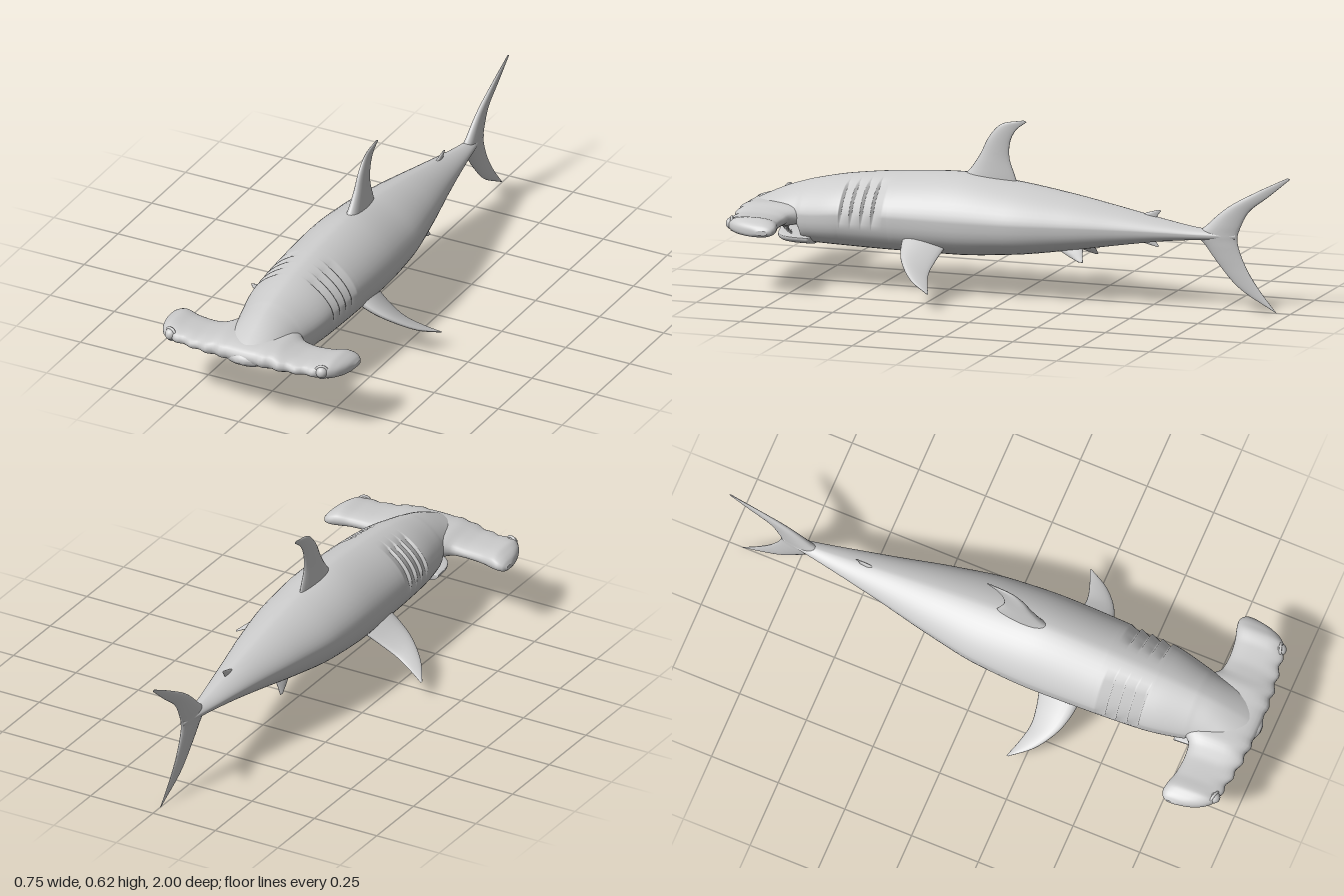
import * as THREE from 'three';

const material = new THREE.MeshStandardMaterial({ color: 0xcccccc, roughness: 0.8 });
const V = (x, y, z) => new THREE.Vector3(x, y, z);

// Smooth closed skin through rings of points, capped at both ends and wound outward
function loft(name, rings) {
  const n = rings[0].length, pos = [], idx = [];
  rings.forEach(r => r.forEach(p => pos.push(p.x, p.y, p.z)));
  for (let i = 0; i < rings.length - 1; i++)
    for (let j = 0; j < n; j++) {
      const a = i * n + j, b = i * n + (j + 1) % n;
      idx.push(a, b, a + n, b, b + n, a + n);
    }
  [0, rings.length - 1].forEach((r, end) => {
    const c = rings[r].reduce((s, p) => s.add(p), V(0, 0, 0)).divideScalar(n);
    const k = pos.length / 3;
    pos.push(c.x, c.y, c.z);
    for (let j = 0; j < n; j++) {
      const a = r * n + j, b = r * n + (j + 1) % n;
      end ? idx.push(k, a, b) : idx.push(k, b, a);
    }
  });
  const at = i => V(pos[3 * i], pos[3 * i + 1], pos[3 * i + 2]);
  let volume = 0;
  for (let i = 0; i < idx.length; i += 3)
    volume += at(idx[i]).dot(at(idx[i + 1]).cross(at(idx[i + 2])));
  if (volume < 0) idx.reverse();
  const g = new THREE.BufferGeometry();
  g.setAttribute('position', new THREE.Float32BufferAttribute(pos, 3));
  g.setIndex(idx);
  g.computeVertexNormals();
  const mesh = new THREE.Mesh(g, material);
  mesh.name = name;
  return mesh;
}

// Monotone cubic interpolation of table rows keyed by their first, ascending column
function sample(rows, x) {
  let i = 0;
  while (i < rows.length - 2 && x > rows[i + 1][0]) i++;
  const a = rows[i], b = rows[i + 1], h = b[0] - a[0];
  const t = THREE.MathUtils.clamp((x - a[0]) / h, 0, 1);
  return a.slice(1).map((_, k) => {
    const c = k + 1;
    const slope = j => (rows[j + 1][c] - rows[j][c]) / (rows[j + 1][0] - rows[j][0]);
    const tangent = j => {
      if (j === 0) return slope(0);
      if (j === rows.length - 1) return slope(j - 1);
      const p = slope(j - 1), q = slope(j);
      return p * q <= 0 ? 0 : 2 * p * q / (p + q);
    };
    const t2 = t * t, t3 = t2 * t;
    return a[c] * (2 * t3 - 3 * t2 + 1) + b[c] * (3 * t2 - 2 * t3)
      + h * (tangent(i) * (t3 - 2 * t2 + t) + tangent(i + 1) * (t3 - t2));
  });
}

const power = (v, e) => Math.sign(v) * Math.abs(v) ** e;

// Body ring: peaked back, flatter belly
function bodyRing(z, [w, top, mid, bottom], inset = () => 0) {
  return Array.from({ length: 48 }, (_, j) => {
    const a = j / 48 * Math.PI * 2, c = Math.cos(a), s = Math.sin(a);
    const e = s > 0 ? 2 / 1.6 : 2 / 2.6, k = 1 - inset(s);
    return V(w * power(c, e) * k, mid + power(s, e) * (s > 0 ? top - mid : mid - bottom) * k, z);
  });
}

// Fin from span stations [leading edge, trailing edge, half thickness]
function fin(name, stations, normal) {
  const lead = new THREE.CatmullRomCurve3(stations.map(s => V(...s[0])));
  const trail = new THREE.CatmullRomCurve3(stations.map(s => V(...s[1])));
  const steps = (stations.length - 1) * 6, N = 20, n = V(...normal).normalize();
  const rings = [];
  for (let i = 0; i <= steps; i++) {
    const u = i / steps, a = lead.getPoint(u), b = trail.getPoint(u);
    const f = u * (stations.length - 1), k = Math.min(Math.floor(f), stations.length - 2);
    const h = THREE.MathUtils.lerp(stations[k][2], stations[k + 1][2], f - k);
    rings.push(Array.from({ length: N }, (_, j) => {
      const t = j / N * Math.PI * 2, c = (1 - Math.cos(t)) / 2;
      return a.clone().lerp(b, c).addScaledVector(n, h * Math.sin(t) * (1.25 - 0.6 * c));
    }));
  }
  return loft(name, rings);
}

export function createModel() {
  const model = new THREE.Group();
  model.name = 'hammerheadShark';

  // Body columns: z, half width, top, widest height, bottom; the step at 0.77 is the mouth
  const body = [
    [-0.8, 0.008, 0.27, 0.26, 0.25], [-0.65, 0.035, 0.285, 0.262, 0.24],
    [-0.55, 0.055, 0.302, 0.265, 0.23], [-0.4, 0.086, 0.332, 0.268, 0.208],
    [-0.2, 0.13, 0.37, 0.27, 0.175], [0, 0.164, 0.4, 0.27, 0.148],
    [0.2, 0.174, 0.42, 0.27, 0.135], [0.4, 0.17, 0.41, 0.27, 0.135],
    [0.6, 0.16, 0.388, 0.265, 0.138], [0.755, 0.13, 0.356, 0.25, 0.142],
    [0.775, 0.124, 0.35, 0.25, 0.2], [0.83, 0.115, 0.332, 0.248, 0.2],
    [0.9, 0.105, 0.302, 0.245, 0.2], [0.97, 0.07, 0.265, 0.24, 0.208],
    [0.995, 0.015, 0.245, 0.235, 0.225]];
  const rings = [];
  for (let z = -0.8; z < 0.994; z += z > 0.42 && z < 0.61 ? 0.004 : z > 0.74 ? 0.007 : 0.02) {
    // Four overlapping gill flaps on the upper flanks
    const inGills = z > 0.44 && z < 0.6, f = ((0.6 - z) / 0.04) % 1;
    rings.push(bodyRing(z, sample(body, z), s => inGills
      ? 0.085 * (1 - f) * THREE.MathUtils.smoothstep(s, -0.15, 0.05) * (1 - THREE.MathUtils.smoothstep(s, 0.8, 0.9))
      : 0));
  }
  rings.push(bodyRing(0.995, body[body.length - 1].slice(1)));
  model.add(loft('body', rings));

  // Lower jaw
  const jaw = [
    [0.72, 0.13, 0.182, 0.17, 0.14], [0.78, 0.126, 0.183, 0.17, 0.14], [0.82, 0.112, 0.184, 0.17, 0.142],
    [0.85, 0.08, 0.185, 0.172, 0.148], [0.867, 0.012, 0.18, 0.174, 0.168]];
  model.add(loft('lowerJaw', Array.from({ length: 22 }, (_, i) => {
    const z = 0.72 + 0.147 * Math.sin(i / 21 * Math.PI / 2);
    return bodyRing(z, sample(jaw, z));
  })));

  // Teeth around both jaws
  const teeth = new THREE.Group();
  teeth.name = 'teeth';
  for (let i = -11; i <= 11; i++) {
    const x = i * 0.0078, z = 0.855 - 6 * x * x;
    for (const upper of [true, false]) {
      const tooth = new THREE.Mesh(new THREE.ConeGeometry(0.005, 0.02, 5), material);
      tooth.name = upper ? 'upperTooth' : 'lowerTooth';
      tooth.position.set(x + (upper ? 0 : 0.0039), upper ? 0.195 : 0.184, upper ? z : z - 0.012);
      if (upper) tooth.rotation.x = Math.PI;
      teeth.add(tooth);
    }
  }
  model.add(teeth);

  // Hammer columns: x, front, back, top, bottom
  const wing = [
    [0, 0.988, 0.74, 0.285, 0.203], [0.1, 0.985, 0.742, 0.284, 0.204], [0.15, 0.98, 0.785, 0.271, 0.208],
    [0.2, 0.972, 0.79, 0.263, 0.21], [0.26, 0.962, 0.785, 0.265, 0.21], [0.31, 0.95, 0.772, 0.272, 0.208],
    [0.335, 0.925, 0.768, 0.264, 0.21], [0.355, 0.88, 0.775, 0.252, 0.213], [0.366, 0.83, 0.79, 0.238, 0.222]];
  model.add(loft('hammer', Array.from({ length: 97 }, (_, i) => {
    const x = 0.366 * Math.sin((i / 48 - 1) * Math.PI / 2), ax = Math.abs(x);
    const [front, back, top, bottom] = sample(wing, ax);
    const ripple = 0.005 * Math.sin(ax * 100) * THREE.MathUtils.smoothstep(ax, 0.03, 0.08)
      * (1 - THREE.MathUtils.smoothstep(ax, 0.28, 0.32));
    return Array.from({ length: 28 }, (_, j) => {
      const a = j / 28 * Math.PI * 2, c = power(Math.cos(a), 0.8), s = power(Math.sin(a), 0.8);
      return V(x, (top + bottom) / 2 + s * (top - bottom) / 2,
        (front + back) / 2 + c * (front - back) / 2 + ripple * Math.max(c, 0));
    });
  })));

  for (const side of [1, -1]) {
    const label = side > 0 ? 'left' : 'right';
    const flip = rows => rows.map(([a, b, h]) => [[a[0] * side, a[1], a[2]], [b[0] * side, b[1], b[2]], h]);

    // Eye in a raised rim
    const eye = new THREE.Group();
    eye.name = label + 'Eye';
    const ball = new THREE.Mesh(new THREE.SphereGeometry(0.021, 20, 14), material);
    ball.name = 'eyeball';
    const rim = new THREE.Mesh(new THREE.TorusGeometry(0.022, 0.005, 8, 24), material);
    rim.name = 'eyeRim';
    eye.add(ball, rim);
    eye.position.set(side * 0.295, 0.243, 0.943);
    eye.rotation.y = side * 0.3;
    model.add(eye);

    // Paired fins
    model.add(fin(label + 'PectoralFin', flip([
      [[0.12, 0.21, 0.375], [0.12, 0.185, 0.215], 0.026], [[0.19, 0.17, 0.362], [0.19, 0.14, 0.232], 0.019],
      [[0.25, 0.138, 0.337], [0.25, 0.108, 0.236], 0.013], [[0.32, 0.094, 0.28], [0.31, 0.083, 0.22], 0.008],
      [[0.372, 0.061, 0.203], [0.37, 0.059, 0.196], 0.002]]), [side * 0.5, 0.85, 0]));
    model.add(fin(label + 'PelvicFin', flip([
      [[0.05, 0.2, -0.14], [0.05, 0.205, -0.26], 0.012], [[0.066, 0.17, -0.195], [0.066, 0.172, -0.262], 0.008],
      [[0.08, 0.147, -0.25], [0.08, 0.146, -0.268], 0.002]]), [side * 0.88, 0.47, 0]));
  }

  // Fins on the centre line, given as [leading y, z, trailing y, z, half thickness]
  const midFin = (name, rows) => model.add(fin(name,
    rows.map(([ay, az, by, bz, h]) => [[0, ay, az], [0, by, bz], h]), [1, 0, 0]));
  midFin('dorsalFin', [
    [0.39, 0.225, 0.375, -0.005, 0.026], [0.425, 0.18, 0.42, 0.01, 0.022], [0.485, 0.138, 0.48, 0.03, 0.016],
    [0.55, 0.105, 0.54, 0.026, 0.011], [0.597, 0.06, 0.58, 0.005, 0.006], [0.615, -0.02, 0.61, -0.033, 0.002]]);
  midFin('secondDorsalFin', [
    [0.29, -0.42, 0.285, -0.51, 0.009], [0.317, -0.46, 0.31, -0.512, 0.006], [0.335, -0.515, 0.332, -0.526, 0.002]]);
  midFin('analFin', [
    [0.235, -0.42, 0.24, -0.5, 0.009], [0.217, -0.46, 0.222, -0.508, 0.006], [0.204, -0.51, 0.206, -0.52, 0.002]]);
  midFin('tailFin', [
    [0.48, -0.99, 0.476, -1, 0.002], [0.425, -0.88, 0.41, -0.922, 0.006], [0.36, -0.768, 0.35, -0.848, 0.011],
    [0.295, -0.695, 0.29, -0.816, 0.017], [0.26, -0.66, 0.255, -0.806, 0.02], [0.222, -0.69, 0.22, -0.811, 0.017],
    [0.15, -0.745, 0.15, -0.84, 0.011], [0.08, -0.812, 0.08, -0.885, 0.007], [0.004, -0.942, 0, -0.95, 0.002]]);

  return model;
}
